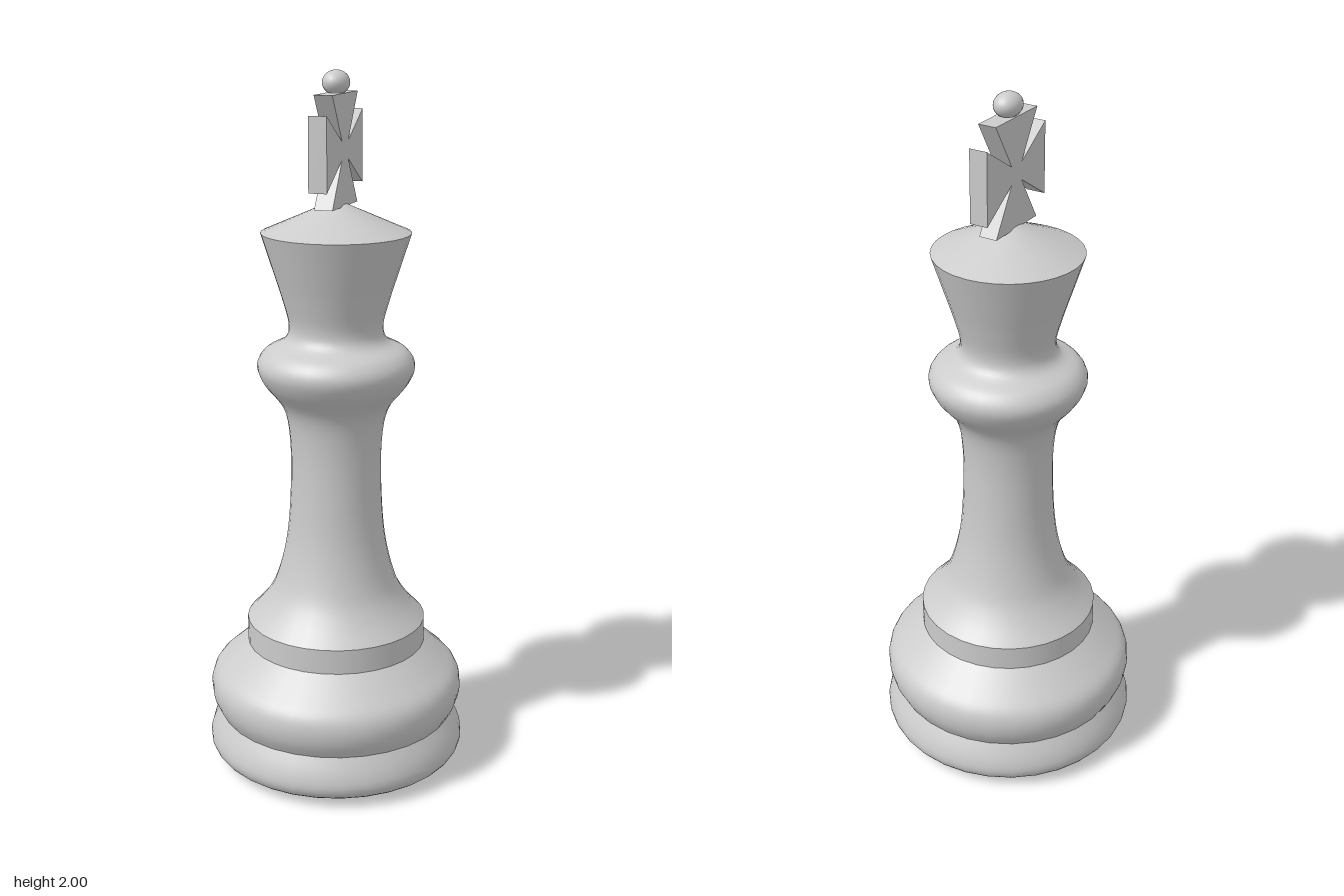
import * as THREE from 'three';

const SIDES = 32;
const grey = () => new THREE.MeshStandardMaterial({ color: 0xcccccc });

// Turned section: [radius, height] points from bottom to top, smoothed by a spline
function turned(name, points, steps = 0) {
  let profile = points.map(([r, y]) => new THREE.Vector2(r, y));
  if (steps) profile = new THREE.SplineCurve(profile).getPoints(steps);
  const mesh = new THREE.Mesh(new THREE.LatheGeometry(profile, SIDES), grey());
  mesh.name = name;
  return mesh;
}

// Cross with four arms that flare outwards, lying in the y-z plane
function flaredCross() {
  const shape = new THREE.Shape();
  const inner = 0.024, flare = 0.1, halfHeight = 0.15, halfWidth = 0.142;
  const corners = [];
  for (let i = 0; i < 4; i++) {
    const a = (i * Math.PI) / 2;
    const reach = i % 2 ? halfHeight : halfWidth;
    for (const [u, v] of [[inner, -inner], [reach, -flare], [reach, flare]]) {
      corners.push(new THREE.Vector2(u, v).rotateAround(new THREE.Vector2(), a));
    }
  }
  shape.setFromPoints(corners);
  const depth = 0.052;
  const geometry = new THREE.ExtrudeGeometry(shape, { depth, bevelEnabled: false });
  geometry.translate(0, 0, -depth / 2);
  geometry.rotateY(Math.PI / 2);
  const mesh = new THREE.Mesh(geometry, grey());
  mesh.name = 'cross';
  mesh.position.y = 1.79;
  return mesh;
}

export function createModel() {
  const king = new THREE.Group();
  king.name = 'chessKing';

  // Base: flat underside, foot ring, bulge and straight band
  king.add(
    turned('underside', [[0, 0], [0.24, 0.003]]),
    turned('footRing', [[0.24, 0.003], [0.31, 0.012], [0.358, 0.03], [0.376, 0.062], [0.367, 0.105], [0.344, 0.15]], 16),
    turned('baseBulge', [[0.344, 0.15], [0.364, 0.19], [0.37, 0.235], [0.357, 0.276], [0.317, 0.315], [0.26, 0.365]], 18),
    turned('baseBand', [[0.26, 0.365], [0.26, 0.437]]),
  );

  // Stem, collar and flaring crown in one smooth sweep
  king.add(turned('stemCollarAndCrown', [
    [0.26, 0.437], [0.212, 0.49], [0.175, 0.555], [0.145, 0.67], [0.132, 0.8], [0.13, 0.96],
    [0.148, 1.07], [0.203, 1.145], [0.222, 1.196], [0.2, 1.237], [0.146, 1.268], [0.132, 1.31],
    [0.15, 1.385], [0.18, 1.48], [0.208, 1.568],
  ], 70));
  king.add(turned('crownTop', [[0.208, 1.568], [0.03, 1.645], [0, 1.65]]));

  // Finial: cross with a small dome on top
  king.add(flaredCross());
  const dome = new THREE.Mesh(new THREE.SphereGeometry(1, 24, 16), grey());
  dome.name = 'finialBall';
  dome.scale.set(0.037, 0.033, 0.044);
  dome.position.y = 1.967;
  king.add(dome);

  return king;
}
